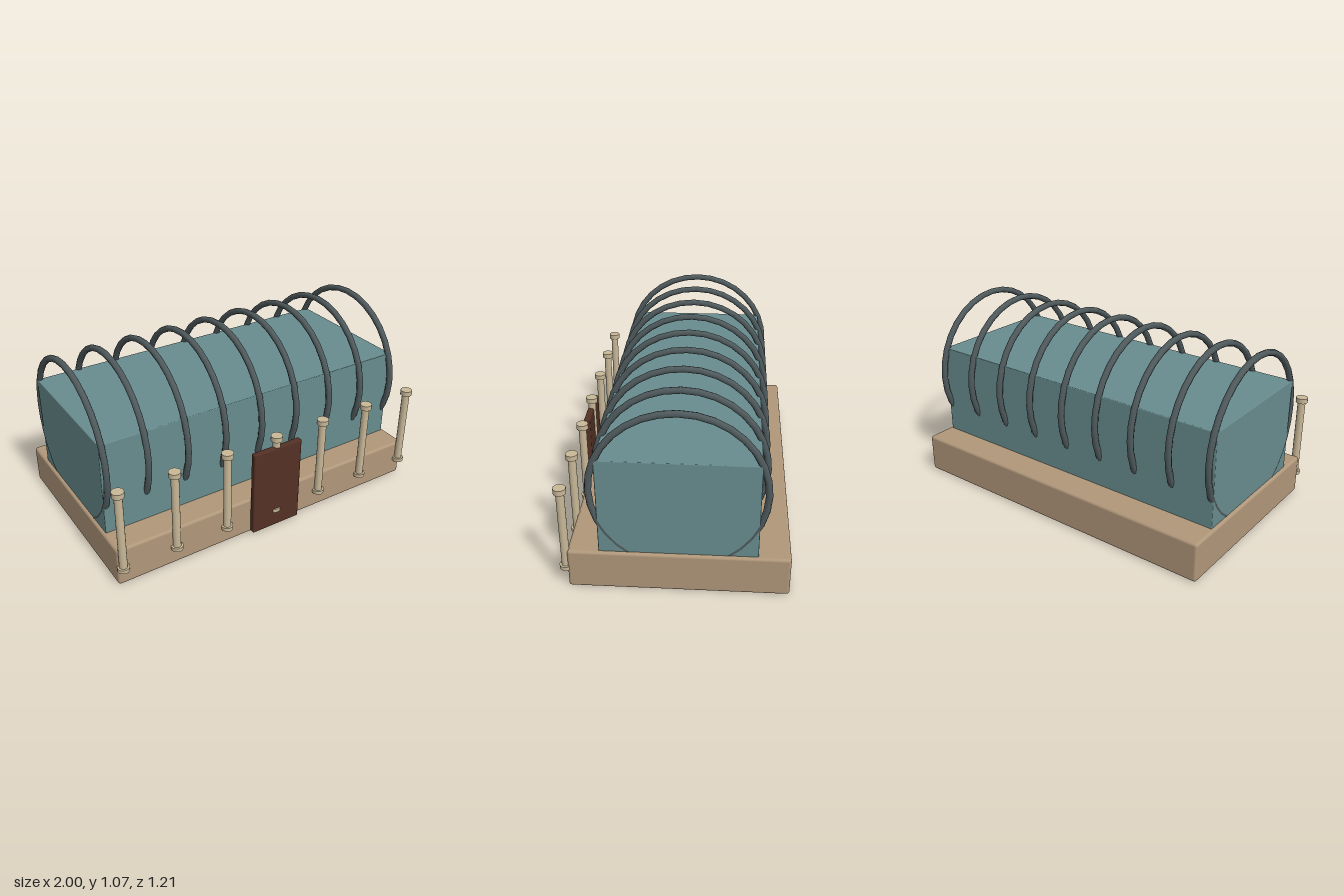
import * as THREE from 'three';
import { RoundedBoxGeometry } from 'three/addons/geometries/RoundedBoxGeometry.js';

const material = (color) => new THREE.MeshStandardMaterial({ color });

export function createModel() {
  const model = new THREE.Group();
  model.name = 'ribbedHall';

  const stone = material(0xb0977a);
  const glass = material(0x688c8e);
  const iron = material(0x4f5a5d);
  const paleStone = material(0xc8b898);
  const wood = material(0x533024);

  function add(name, geometry, mat, x, y, z, parent = model) {
    const mesh = new THREE.Mesh(geometry, mat);
    mesh.name = name;
    mesh.position.set(x, y, z);
    parent.add(mesh);
    return mesh;
  }

  // Plinth and hall with softened edges
  add('base', new RoundedBoxGeometry(1.98, 0.23, 1.165, 2, 0.016), stone, 0, 0.115, -0.022);
  add('hall', new RoundedBoxGeometry(1.944, 0.6, 0.83, 1, 0.005), glass, 0, 0.48, -0.02);

  // Hoops wrapped around the hall, sunk into the plinth
  const ribs = new THREE.Group();
  ribs.name = 'ribs';
  model.add(ribs);
  const ribGeometry = new THREE.TorusGeometry(0.452, 0.0185, 8, 32).rotateY(Math.PI / 2);
  for (let i = 0; i < 9; i++) {
    add('rib', ribGeometry, iron, (i - 4) * 0.239, 0.597, -0.02, ribs);
  }

  // Front colonnade: shaft with a wider foot and capital
  const columns = new THREE.Group();
  columns.name = 'columns';
  model.add(columns);
  const shaftGeometry = new THREE.CylinderGeometry(0.0225, 0.0225, 0.48, 16);
  const capitalGeometry = new THREE.CylinderGeometry(0.034, 0.034, 0.03, 16);
  const footGeometry = new THREE.CylinderGeometry(0.034, 0.034, 0.022, 16);
  for (let i = 0; i < 7; i++) {
    const column = new THREE.Group();
    column.name = 'column';
    column.position.set((i - 3) * 0.3212, 0, 0.573);
    columns.add(column);
    add('shaft', shaftGeometry, paleStone, 0, 0.35, 0, column);
    add('capital', capitalGeometry, paleStone, 0, 0.595, 0, column);
    add('foot', footGeometry, paleStone, 0, 0.117, 0, column);
  }

  // Door slab around the middle column
  add('door', new RoundedBoxGeometry(0.318, 0.53, 0.036, 2, 0.008), wood, 0, 0.277, 0.579);

  return model;
}
